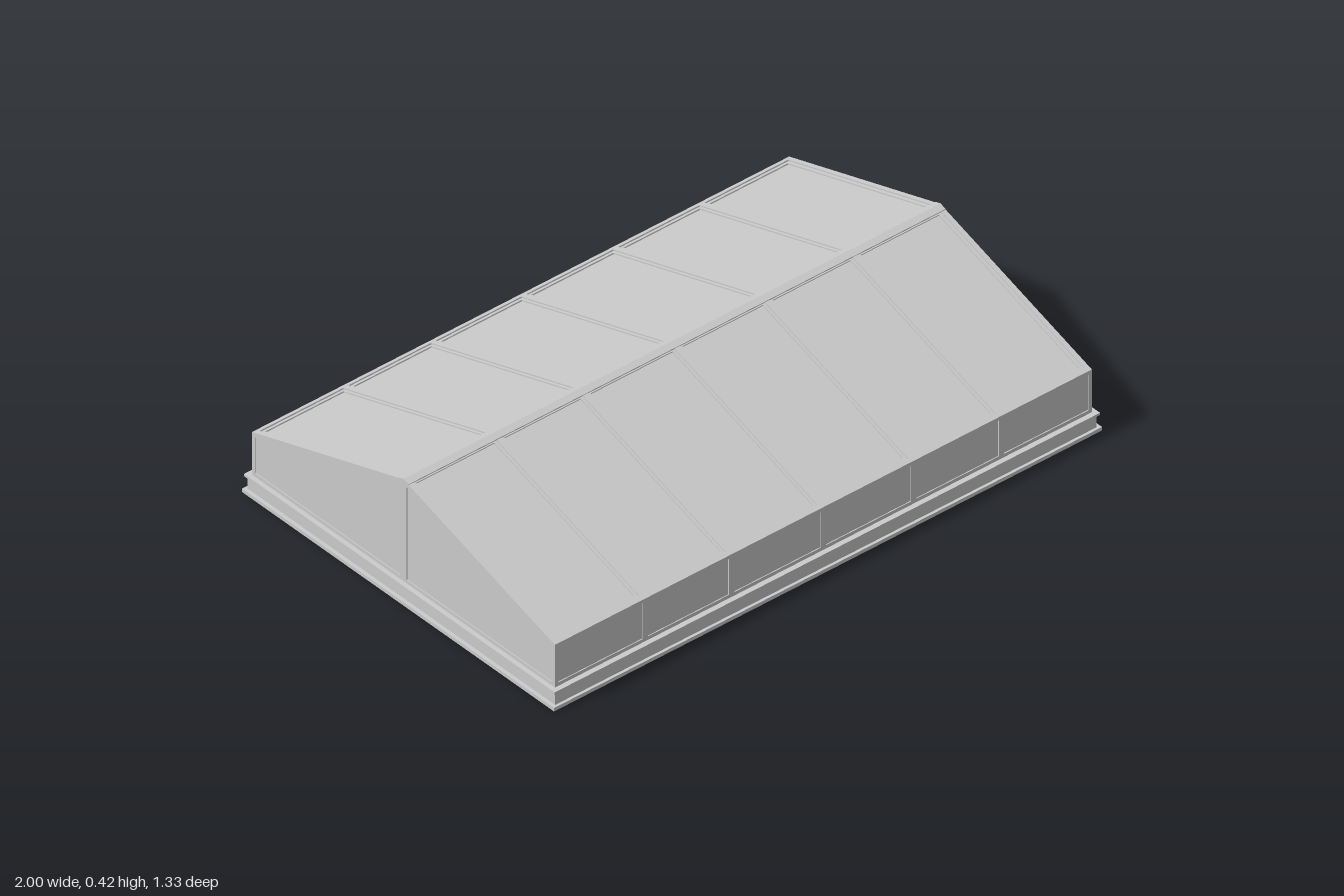
import * as THREE from 'three';

const W = 0.98, D = 0.647, EAVE = 0.21, RIDGE = 0.415, SILL = 0.05;
const BARS = [-0.98, -0.65, -0.335, 0, 0.33, 0.65, 0.98];

export function createModel() {
  const model = new THREE.Group();
  const mat = new THREE.MeshStandardMaterial({ color: 0xcccccc, flatShading: true });

  const rect = (x0, y0, x1, y1) => [[x0, y0], [x1, y0], [x1, y1], [x0, y1]];
  const points = (list) => list.map(([x, y]) => new THREE.Vector2(x, y));

  // Flat plate in XY with polygon holes, filling z0..z1
  function plate(name, outline, holes, z0, z1) {
    const shape = new THREE.Shape(points(outline));
    holes.forEach((h) => shape.holes.push(new THREE.Path(points(h))));
    const geo = new THREE.ExtrudeGeometry(shape, { depth: z1 - z0, bevelEnabled: false });
    geo.translate(0, 0, z0);
    const mesh = new THREE.Mesh(geo, mat);
    mesh.name = name;
    return mesh;
  }

  // One opening per bay, leaving bars of the given half width and edges of the given margin
  function bays(y0, y1, half, edge) {
    return BARS.slice(0, -1).map((x, i) => rect(
      x + (i === 0 ? edge : half), y0 + edge,
      BARS[i + 1] - (i === 5 ? edge : half), y1 - edge));
  }

  // Base curb: foot flange, upright and top lip, all open in the middle
  const base = new THREE.Group();
  base.name = 'baseCurb';
  [['footFlange', 1, 0.667, 0, 0.012],
    ['curbUpright', 0.988, 0.658, 0.012, 0.054],
    ['topLip', 0.995, 0.664, 0.054, 0.062]].forEach(([name, x, z, y0, y1]) => {
    const ring = plate(name, rect(-x, -z, x, z), [rect(-0.968, -0.635, 0.968, 0.635)], y0, y1);
    ring.rotation.x = -Math.PI / 2;
    base.add(ring);
  });
  model.add(base);

  const slope = Math.hypot(D, RIDGE - EAVE);
  const pitch = Math.atan2(RIDGE - EAVE, D);

  // Long sides: low framed wall and glazed roof slope, front and back
  for (const side of ['front', 'back']) {
    const half = new THREE.Group();
    half.name = side + 'Half';
    half.rotation.y = side === 'front' ? 0 : Math.PI;

    const wall = new THREE.Group();
    wall.name = side + 'Wall';
    wall.position.z = D;
    wall.add(
      plate('wallFrame', rect(-W, SILL, W, EAVE), bays(SILL + 0.012, EAVE, 0.01, 0.012), -0.012, 0),
      plate('wallPanel', rect(-W + 0.005, SILL, W - 0.005, EAVE - 0.005), [], -0.007, -0.003));
    half.add(wall);

    const roof = new THREE.Group();
    roof.name = side + 'Roof';
    roof.position.set(0, EAVE, D);
    roof.rotation.x = pitch - Math.PI / 2;
    roof.add(
      plate('roofBarCaps', rect(-W, 0, W, slope), bays(0, slope, 0.009, 0.015), -0.005, 0),
      plate('roofFrame', rect(-W, 0, W, slope), bays(0, slope, 0.018, 0.026), -0.014, -0.004),
      plate('roofGlass', rect(-W + 0.005, 0.005, W - 0.005, slope - 0.005), [], -0.011, -0.008));
    half.add(roof);
    model.add(half);
  }

  // Gable ends: five sided frame with a centre post and two panes
  const roofY = (z) => RIDGE - (RIDGE - EAVE) * Math.abs(z) / D;
  const gableOutline = [[-D, SILL], [D, SILL], [D, EAVE], [0, RIDGE], [-D, EAVE]];
  const inner = 0.014, outer = D - 0.014;
  const pane = (s) => [[s * inner, SILL + 0.024], [s * outer, SILL + 0.024],
    [s * outer, roofY(outer) - 0.016], [s * inner, roofY(inner) - 0.016]];
  for (const s of [1, -1]) {
    const gable = new THREE.Group();
    gable.name = s > 0 ? 'leftGable' : 'rightGable';
    gable.position.x = s * W;
    gable.rotation.y = s * Math.PI / 2;
    gable.add(
      plate('gableFrame', gableOutline, [pane(1), pane(-1)], -0.012, 0),
      plate('gablePanel', gableOutline.map(([z, y]) => [z * 0.99, y === SILL ? y : y - 0.006]), [], -0.007, -0.003));
    model.add(gable);
  }

  // Slim ridge cap joining the two slopes
  const ridge = plate('ridgeCap',
    [[-0.022, RIDGE - 0.008], [0.022, RIDGE - 0.008], [0.022, RIDGE - 0.005], [0, RIDGE + 0.002], [-0.022, RIDGE - 0.005]],
    [], -W, W);
  ridge.rotation.y = Math.PI / 2;
  model.add(ridge);

  return model;
}
